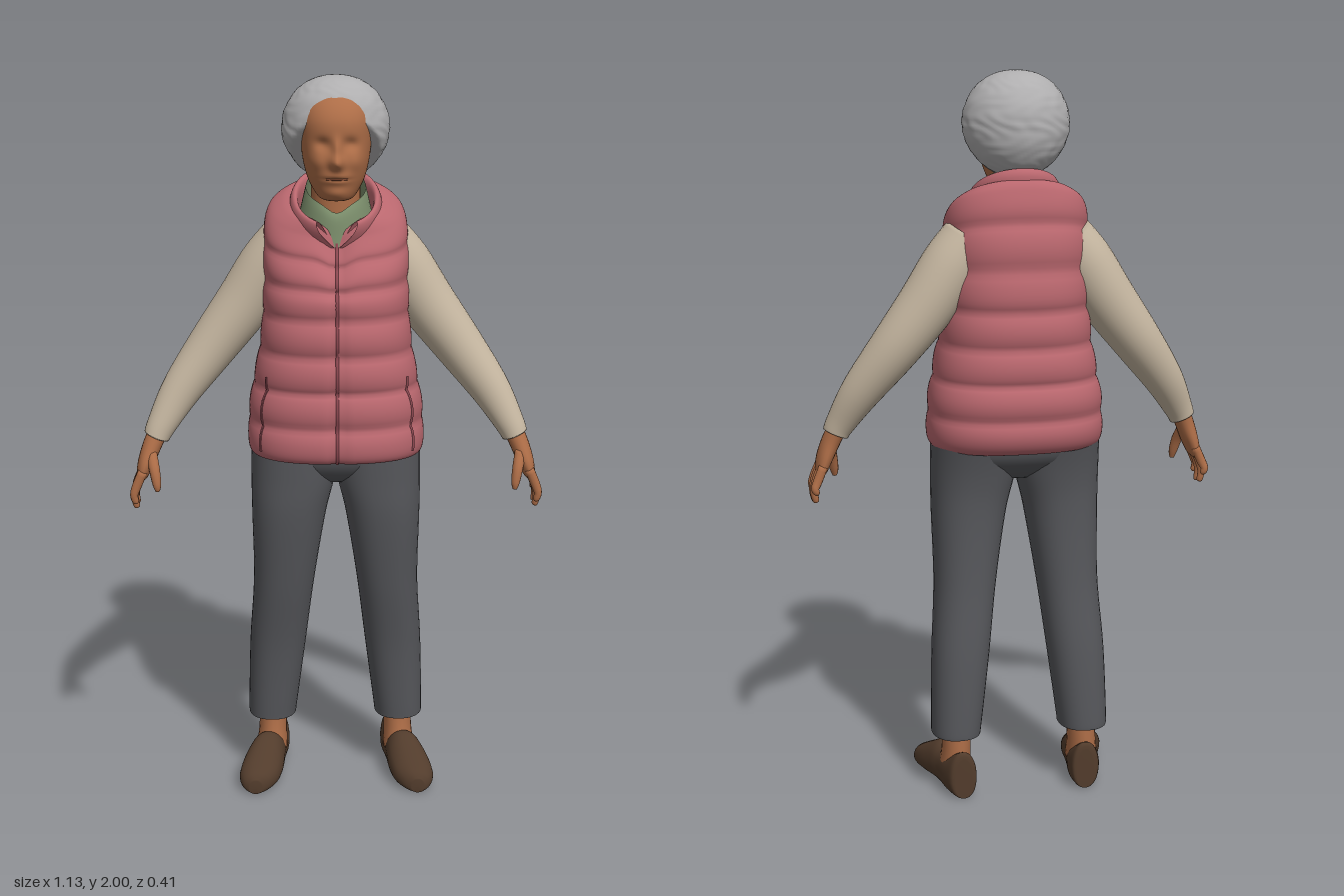
import * as THREE from 'three';

const mat = (name, color, side = THREE.FrontSide) => {
  const m = new THREE.MeshStandardMaterial({ color, side });
  m.name = name;
  return m;
};
const gauss = (d, w) => Math.exp(-(d * d) / (w * w));
const sup = (c, e) => Math.sign(c) * Math.abs(c) ** (2 / e);
const clamp01 = (t) => Math.min(1, Math.max(0, t));

// Smooth interpolation through rows of numbers, t in 0..1
function at(rows, t) {
  const f = clamp01(t) * (rows.length - 1), i = Math.min(rows.length - 2, Math.floor(f)), u = f - i;
  const r = (k) => rows[Math.min(rows.length - 1, Math.max(0, k))];
  return rows[0].map((_, k) => {
    const [a, b, c, d] = [r(i - 1)[k], r(i)[k], r(i + 1)[k], r(i + 2)[k]];
    return b + 0.5 * u * (c - a + u * (2 * a - 5 * b + 4 * c - d + u * (3 * (b - c) + d - a)));
  });
}

// Surface from point(t, a): rings along t, angle a around; optional closed ends
function loft(point, nt, na, { a0 = 0, a1 = Math.PI * 2, caps = true } = {}) {
  const wrap = a1 - a0 > 6.28, cols = wrap ? na : na + 1, rows = [];
  for (let i = 0; i <= nt; i++) {
    const ring = [];
    for (let j = 0; j < cols; j++) ring.push(point(i / nt, a0 + ((a1 - a0) * j) / na));
    rows.push(ring);
  }
  if (caps) {
    const pole = (ring) => {
      const c = [0, 1, 2].map((k) => ring.reduce((s, p) => s + p[k], 0) / cols);
      return ring.map(() => c);
    };
    rows.unshift(pole(rows[0]));
    rows.push(pole(rows[rows.length - 1]));
  }
  const index = [];
  for (let i = 0; i < rows.length - 1; i++) for (let j = 0; j < na; j++) {
    const k = (j + 1) % cols, a = i * cols + j, b = i * cols + k;
    index.push(a, b, a + cols, b, b + cols, a + cols);
  }
  const g = new THREE.BufferGeometry();
  g.setAttribute('position', new THREE.Float32BufferAttribute(rows.flat(2), 3));
  g.setIndex(index);
  g.computeVertexNormals();
  return g;
}

// Horizontal ring from [y, centreX, halfWidth, frontZ, backZ]
function ringPoint([y, cx, rx, zf, zb], a, e = 2) {
  return [cx + rx * sup(Math.sin(a), e), y, (zf + zb) / 2 + ((zf - zb) / 2) * sup(Math.cos(a), e)];
}
const body = (rows, nt, na, e) => loft((t, a) => ringPoint(at(rows, t), a, e), nt, na);

// Limb from [x, y, z, radius in the xy plane, radius in z]
function limb(rows, nt = 20, na = 20) {
  return loft((t, a) => {
    const [x, y, z, r, rz] = at(rows, t), p = at(rows, t - 0.02), q = at(rows, t + 0.02);
    const l = Math.hypot(q[0] - p[0], q[1] - p[1]), c = r * Math.cos(a);
    return [x - ((q[1] - p[1]) / l) * c, y + ((q[0] - p[0]) / l) * c, z + rz * Math.sin(a)];
  }, nt, na);
}

function mirrored(geo) {
  const g = geo.clone().scale(-1, 1, 1), ix = g.index.array;
  for (let i = 0; i < ix.length; i += 3) [ix[i], ix[i + 1]] = [ix[i + 1], ix[i]];
  g.computeVertexNormals();
  return g;
}

// Quilted vest surface
const vestRows = [
  [1.0, 0, 0.2, 0.16, -0.14], [0.99, 0, 0.234, 0.198, -0.175], [1.04, 0, 0.24, 0.203, -0.195],
  [1.12, 0, 0.236, 0.2, -0.2], [1.2, 0, 0.222, 0.197, -0.195], [1.3, 0, 0.205, 0.193, -0.19],
  [1.4, 0, 0.197, 0.186, -0.186], [1.5, 0, 0.195, 0.17, -0.178], [1.58, 0, 0.194, 0.146, -0.165],
  [1.635, 0, 0.182, 0.125, -0.153], [1.665, 0, 0.145, 0.117, -0.138], [1.675, 0, 0.108, 0.112, -0.122],
];
function vestPoint(t, a) {
  const row = at(vestRows, t), y = row[0];
  const p = ringPoint(row, a, 2.45);
  const fade = clamp01((1.64 - y) / 0.06) * clamp01(t * 11);
  const puff = fade * 0.017 * (Math.abs(Math.sin((Math.PI * (y - 0.985)) / 0.097)) ** 0.6 - 0.62);
  const front = Math.max(0, Math.cos(a));
  const push = puff * (0.3 + 0.7 * Math.abs(Math.cos(a)));
  p[0] += push * Math.sin(a);
  p[2] += push * Math.cos(a) - 0.01 * front * gauss(p[0], 0.016);
  const top = clamp01((y - 1.42) / 0.22);
  p[1] -= top * (0.38 * p[2] + 0.035 * front * gauss(p[0], 0.04));
  return p;
}

export function createModel() {
  const model = new THREE.Group();
  const rose = mat('rose vest', 0xb9676e, THREE.DoubleSide);
  const seam = mat('dark rose seam', 0x8f4a53);
  const cream = mat('cream sleeve', 0xc6b7a1);
  const grey = mat('charcoal trousers', 0x56575b);
  const skin = mat('skin', 0xad6d47);
  const lip = mat('lip', 0x8c5138);
  const silver = mat('silver hair', 0xafaeaf);
  const brown = mat('brown shoe', 0x523c2c);
  const green = mat('green shirt', 0x7e916e, THREE.DoubleSide);
  const add = (name, geo, m) => {
    const mesh = new THREE.Mesh(geo, m);
    mesh.name = name;
    model.add(mesh);
  };
  const pair = (name, geo, m) => {
    add('left' + name, geo, m);
    add('right' + name, mirrored(geo), m);
  };

  // Vest with zip and pocket seams
  add('vest', loft(vestPoint, 88, 96, { caps: false }), rose);
  const seamLine = (t0, t1, a, r) => {
    const pts = [];
    for (let i = 0; i <= 40; i++) {
      const p = vestPoint(t0 + ((t1 - t0) * i) / 40, a);
      pts.push(new THREE.Vector3(...p));
    }
    return new THREE.TubeGeometry(new THREE.CatmullRomCurve3(pts), 60, r, 6);
  };
  add('zip', seamLine(0.09, 0.86, 0, 0.005), seam);
  pair('PocketSeam', seamLine(0.14, 0.38, 0.95, 0.004), seam);

  // Stand-up collar, open in a V at the front
  const collarRows = [
    [1.62, 0, 0.122, 0.122, -0.132], [1.665, 0, 0.124, 0.142, -0.134], [1.69, 0, 0.116, 0.147, -0.122],
    [1.692, 0, 0.105, 0.138, -0.108], [1.67, 0, 0.1, 0.125, -0.1], [1.61, 0, 0.1, 0.105, -0.1],
  ];
  const heights = [0, 0.7, 1, 1, 0.7, 0];
  add('collar', loft((t, u) => {
    const h = at(heights.map((v) => [v]), t)[0], gap = 0.04 + 0.42 * h;
    const p = ringPoint(at(collarRows, t), gap + u * (Math.PI * 2 - 2 * gap), 2.1);
    p[1] -= 0.48 * p[2];
    return p;
  }, 20, 64, { a1: 1, caps: false }), rose);

  // Shirt neck
  const shirtRows = [[1.56, 0, 0.12, 0.122, -0.11], [1.63, 0, 0.1, 0.115, -0.1], [1.69, 0, 0.086, 0.112, -0.088], [1.715, 0, 0.08, 0.105, -0.08]];
  add('shirtNeck', loft((t, a) => {
    const p = ringPoint(at(shirtRows, t), a);
    p[1] -= 0.42 * p[2] + 0.02 * t * gauss(p[0], 0.03) * (p[2] > 0 ? 1 : 0);
    return p;
  }, 14, 40, { caps: false }), green);

  // Head and neck
  add('neck', body([[1.56, 0, 0.072, 0.07, -0.07], [1.66, 0, 0.066, 0.068, -0.07], [1.8, 0, 0.066, 0.07, -0.07]], 8, 28), skin);
  const faceRows = [
    [1.682, 0, 0.03, 0.1, 0.03], [1.69, 0, 0.048, 0.113, -0.01], [1.72, 0, 0.068, 0.122, -0.05],
    [1.75, 0, 0.08, 0.128, -0.07], [1.79, 0, 0.089, 0.13, -0.085], [1.84, 0, 0.094, 0.132, -0.09],
    [1.89, 0, 0.094, 0.13, -0.09], [1.93, 0, 0.082, 0.108, -0.085], [1.96, 0, 0.05, 0.07, -0.06],
  ];
  const facePoint = (t, a) => {
    const p = ringPoint(at(faceRows, t), a, 2.15), [x, y] = p, ax = Math.abs(x);
    if (Math.cos(a) > 0) {
      p[2] += 0.034 * gauss(x, 0.018) * gauss(y - 1.785, 0.02) + 0.014 * gauss(x, 0.011) * gauss(y - 1.82, 0.025)
        + 0.01 * gauss(ax - 0.05, 0.025) * gauss(y - 1.785, 0.025) - 0.013 * gauss(ax - 0.036, 0.02) * gauss(y - 1.832, 0.016)
        + 0.012 * gauss(x, 0.035) * gauss(y - 1.745, 0.018) + 0.008 * gauss(x, 0.03) * gauss(y - 1.705, 0.016)
        - 0.007 * gauss(x, 0.03) * gauss(y - 1.742, 0.005);
    }
    return p;
  };
  add('face', loft(facePoint, 70, 96), skin);
  const mouth = [];
  for (let i = -6; i <= 6; i++) mouth.push(new THREE.Vector3(i * 0.0045, 1.743, facePoint(0.352, Math.asin((i * 0.0045) / 0.08))[2] - 0.001));
  add('mouth', new THREE.TubeGeometry(new THREE.CatmullRomCurve3(mouth), 24, 0.0035, 6), lip);

  // Curly hair, flattened where the face comes through
  add('hair', loft((t, a) => {
    const b = (t - 0.5) * Math.PI * 0.98, c = Math.cos(b);
    const curl = 1 + 0.012 * Math.sin(9 * a + 4 * Math.sin(7 * b)) * Math.sin(11 * b + 2 * Math.sin(5 * a)) * c;
    const w = c ** 0.9 * curl, ca = Math.cos(a);
    const y = 1.86 + 0.14 * Math.sin(b) * (curl * 0.5 + 0.5);
    const z = -0.02 + w * ca * (ca > 0 ? 0.133 : 0.135);
    const low = clamp01((1.84 - y) / 0.12);
    return [w * Math.sin(a) * (0.144 - 0.012 * low), y, Math.min(z - 0.012 * low, 0.002 + (y - 1.77) * 0.8)];
  }, 64, 80), silver);

  // Sleeves
  pair('Sleeve', limb([
    [0.13, 1.565, -0.042, 0.072, 0.085], [0.18, 1.49, -0.045, 0.082, 0.088], [0.25, 1.385, -0.045, 0.078, 0.082],
    [0.34, 1.265, -0.035, 0.068, 0.073], [0.425, 1.15, -0.008, 0.055, 0.057], [0.478, 1.06, 0.02, 0.041, 0.042],
    [0.493, 1.028, 0.028, 0.036, 0.038],
  ], 32, 32), cream);

  // Hands: palm, four fingers, thumb
  pair('Palm', limb([
    [0.485, 1.05, 0.025, 0.027, 0.03], [0.505, 1.005, 0.037, 0.026, 0.036], [0.522, 0.96, 0.045, 0.023, 0.046],
    [0.533, 0.925, 0.046, 0.017, 0.046], [0.537, 0.91, 0.045, 0.009, 0.04],
  ]), skin);
  [[0.083, 0.088, 0.85], [0.058, 0.06, 0.83], [0.033, 0.03, 0.834], [0.01, 0.0, 0.862]].forEach(([z0, z1, y], i) => {
    pair('Finger' + (i + 1), limb([
      [0.53, 0.94, z0, 0.013, 0.013], [0.547, 0.9, (z0 + z1) / 2, 0.013, 0.012],
      [0.555, (0.9 + y) / 2, z1, 0.011, 0.011], [0.551, y + 0.006, z1, 0.009, 0.009], [0.55, y, z1, 0.004, 0.004],
    ], 12, 10), skin);
  });
  pair('Thumb', limb([
    [0.508, 0.99, 0.06, 0.016, 0.018], [0.498, 0.95, 0.087, 0.015, 0.016],
    [0.491, 0.91, 0.1, 0.012, 0.012], [0.489, 0.89, 0.103, 0.006, 0.006],
  ], 12, 12), skin);

  // Trousers
  pair('TrouserLeg', body([
    [0.18, 0.182, 0.06, 0.01, -0.135], [0.172, 0.182, 0.067, 0.02, -0.146], [0.2, 0.181, 0.07, 0.024, -0.15],
    [0.4, 0.165, 0.08, 0.045, -0.14], [0.6, 0.146, 0.086, 0.084, -0.12], [0.8, 0.131, 0.103, 0.117, -0.115],
    [0.92, 0.118, 0.117, 0.125, -0.127], [1.05, 0.115, 0.118, 0.13, -0.16],
  ], 48, 36, 2.25), grey);
  add('hips', body([
    [0.9, 0, 0.12, 0.06, -0.07], [0.93, 0, 0.19, 0.1, -0.11], [0.98, 0, 0.225, 0.125, -0.148], [1.08, 0, 0.225, 0.135, -0.165],
  ], 14, 40, 2.4), grey);

  // Ankles and slip-on shoes turned slightly outwards
  pair('Ankle', body([[0.06, 0.185, 0.045, 0.01, -0.12], [0.13, 0.182, 0.04, -0.01, -0.12], [0.22, 0.18, 0.042, -0.02, -0.115]], 8, 20), skin);
  const shoeRows = [
    [-0.15, 0.175, 0.025, 0.115], [-0.142, 0.176, 0.038, 0.135], [-0.1, 0.181, 0.046, 0.118], [-0.04, 0.19, 0.046, 0.112],
    [0.0, 0.198, 0.051, 0.122], [0.05, 0.21, 0.058, 0.1], [0.1, 0.221, 0.056, 0.075], [0.132, 0.228, 0.04, 0.058], [0.146, 0.231, 0.018, 0.04],
  ];
  pair('Shoe', loft((t, a) => {
    const [z, cx, w, h] = at(shoeRows, t), up = Math.sin(a);
    const narrow = up > 0 ? 1 - 0.25 * up : 1;
    return [cx + w * narrow * sup(Math.cos(a), 2.6), h / 2 + (h / 2) * sup(up, 2.8), z];
  }, 36, 32), brown);

  return model;
}
